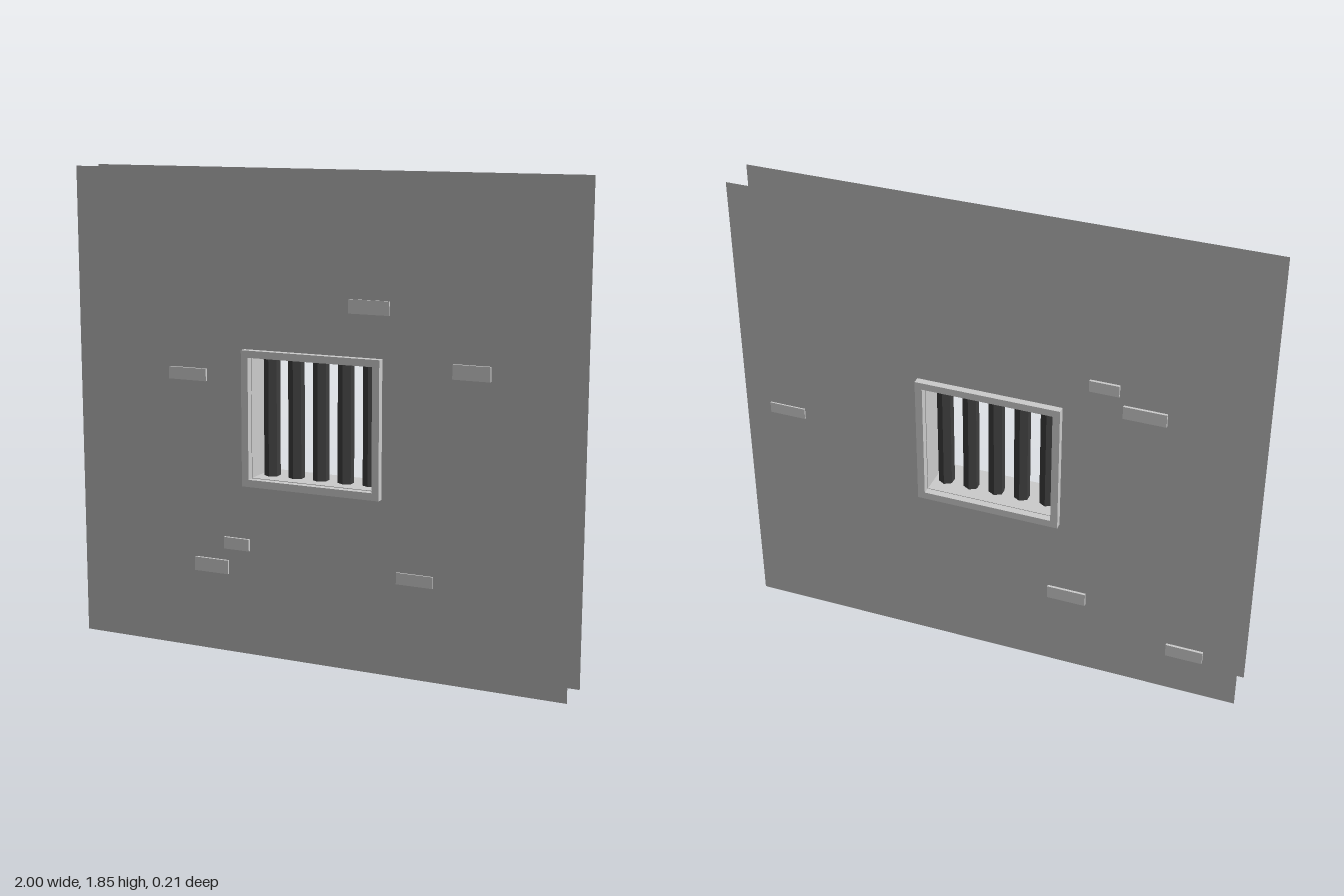
import * as THREE from 'three';

const WALL_Z = 0.078, BOTTOM = 0.698, TOP = 1.158, HALF = 0.25;

const stone = new THREE.MeshStandardMaterial({ color: 0xcccccc, flatShading: true, side: THREE.DoubleSide });
const plaster = new THREE.MeshStandardMaterial({ color: 0xb2b2b2, flatShading: true, side: THREE.DoubleSide });
const iron = new THREE.MeshStandardMaterial({ color: 0x3e3e3e, flatShading: true });

// Rectangle outline, usable as a shape or as a hole
function rect(Type, x0, y0, x1, y1) {
  return new Type([[x0, y0], [x1, y0], [x1, y1], [x0, y1]].map(p => new THREE.Vector2(...p)));
}

function add(parent, name, geometry, material, x = 0, y = 0, z = 0) {
  const mesh = new THREE.Mesh(geometry, material);
  mesh.name = name;
  mesh.position.set(x, y, z);
  parent.add(mesh);
  return mesh;
}

export function createModel() {
  const model = new THREE.Group();
  model.name = 'barredWindowWall';
  const midY = (BOTTOM + TOP) / 2, height = TOP - BOTTOM;

  // Thin wall sheets with the window opening cut out
  const wall = rect(THREE.Shape, -1, 0, 1, 1.85);
  wall.holes.push(rect(THREE.Path, -HALF, BOTTOM, HALF, TOP));
  const wallGeo = new THREE.ShapeGeometry(wall);
  add(model, 'frontWall', wallGeo, plaster, 0, 0, WALL_Z);
  add(model, 'backWall', wallGeo, plaster, 0, 0, -WALL_Z).rotation.y = Math.PI;

  // Raised frame on each side of the wall
  const frame = rect(THREE.Shape, -0.28, 0.668, 0.28, 1.187);
  frame.holes.push(rect(THREE.Path, -0.252, 0.696, 0.252, 1.16));
  const frameGeo = new THREE.ExtrudeGeometry(frame, { depth: 0.028, bevelEnabled: false });
  add(model, 'frontFrame', frameGeo, stone, 0, 0, WALL_Z);
  add(model, 'backFrame', frameGeo, stone, 0, 0, -WALL_Z).rotation.y = Math.PI;

  // Lining of the opening between the two sheets
  const reveal = new THREE.Group();
  reveal.name = 'windowReveal';
  model.add(reveal);
  for (const s of [-1, 1]) {
    const side = new THREE.PlaneGeometry(2 * WALL_Z, height);
    add(reveal, s > 0 ? 'leftReveal' : 'rightReveal', side, stone, s * HALF, midY).rotation.y = -s * Math.PI / 2;
    const sill = new THREE.PlaneGeometry(2 * HALF, 2 * WALL_Z);
    add(reveal, s > 0 ? 'lintel' : 'sill', sill, stone, 0, midY + s * height / 2).rotation.x = s * Math.PI / 2;
  }

  // Five hexagonal iron bars, set into sill and lintel
  const barGeo = new THREE.CylinderGeometry(0.031, 0.031, 0.517, 6);
  for (let i = -2; i <= 2; i++) add(model, 'bar', barGeo, iron, i * 0.102, midY);

  // Exposed bricks: x0, x1, y0, y1, thickness
  const bricks = {
    frontBrick: [
      [-0.60, -0.44, 1.055, 1.102, 0.01], [0.147, 0.307, 1.345, 1.397, 0.006],
      [0.552, 0.694, 1.134, 1.188, 0.01], [-0.37, -0.263, 0.411, 0.457, 0.01],
      [-0.498, -0.354, 0.31, 0.364, 0.01], [0.342, 0.486, 0.358, 0.402, 0.006]],
    backBrick: [
      [0.752, 0.896, 0.90, 0.943, 0.006], [-0.489, -0.378, 1.285, 1.329, 0.01],
      [-0.665, -0.505, 1.20, 1.25, 0.01], [-0.392, -0.24, 0.313, 0.366, 0.01],
      [-0.863, -0.719, 0.166, 0.218, 0.01]],
  };
  for (const [name, list] of Object.entries(bricks)) {
    const s = name === 'frontBrick' ? 1 : -1;
    for (const [x0, x1, y0, y1, d] of list) {
      const geo = new THREE.BoxGeometry(x1 - x0, y1 - y0, d);
      add(model, name, geo, stone, (x0 + x1) / 2, (y0 + y1) / 2, s * (WALL_Z + d / 2));
    }
  }
  return model;
}
